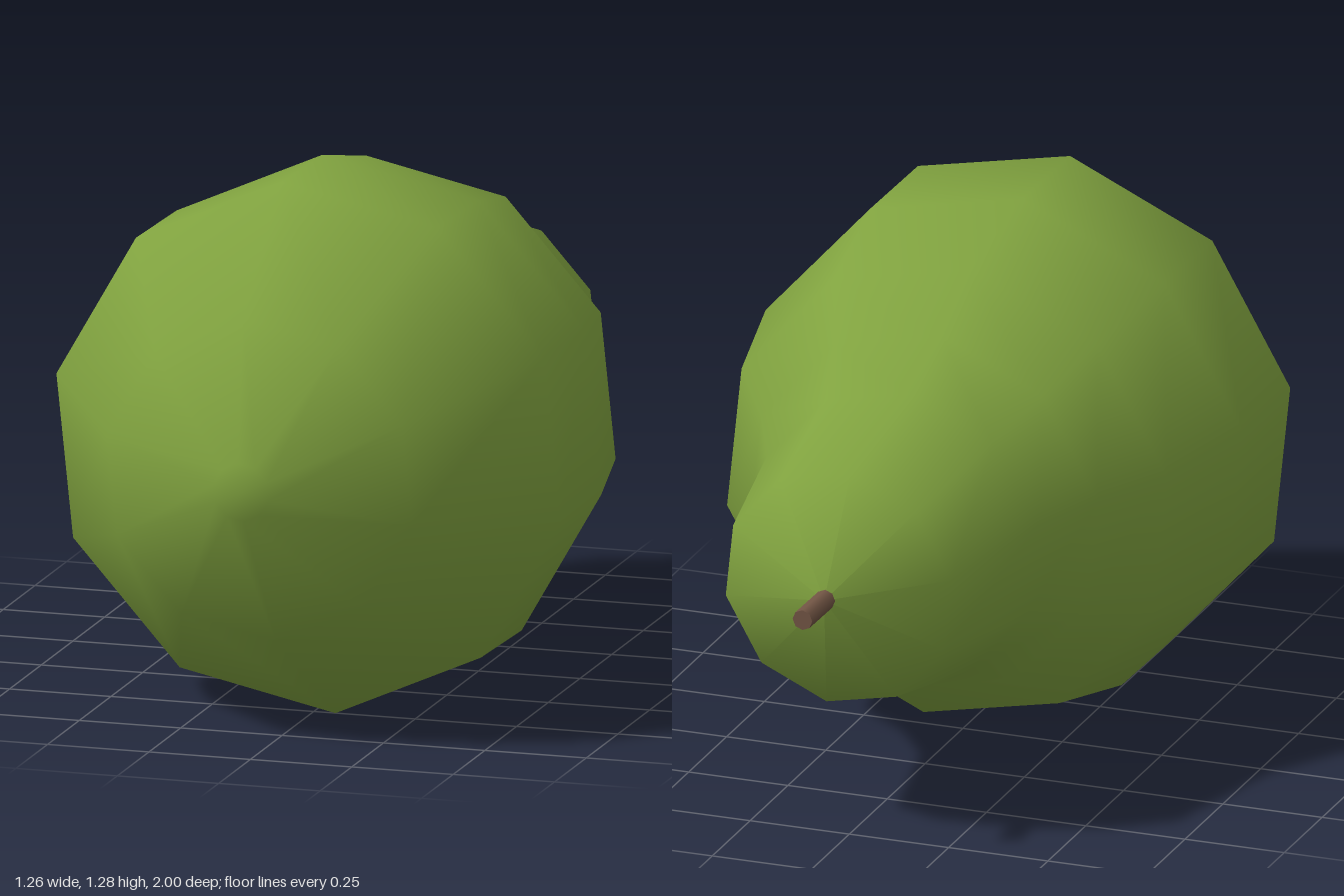
import * as THREE from 'three';

export function createModel() {
  const skinGreen = new THREE.MeshStandardMaterial({ color: 0x80a23f });
  const stemBrown = new THREE.MeshStandardMaterial({ color: 0x735645 });
  skinGreen.name = 'skinGreen';
  stemBrown.name = 'stemBrown';

  const model = new THREE.Group();
  model.name = 'pear';

  // The pear lies on its side: the lathe axis runs from the front (+z) to the stem (-z),
  // and leans very slightly off the z axis.
  const fruit = new THREE.Group();
  fruit.name = 'fruit';
  fruit.position.y = 0.64;
  fruit.rotation.set(-0.01, -0.023, 0);
  model.add(fruit);

  // Body: ten-sided smooth lathe, radius against distance along the axis
  const profile = [
    [0, -1], [0.07, -1], [0.388, -0.865], [0.64, -0.505], [0.64, -0.205],
    [0.571, 0.1], [0.452, 0.245], [0.364, 0.41], [0.293, 0.775], [0, 0.865],
  ].map(([r, a]) => new THREE.Vector2(r, a));
  const bodyGeometry = new THREE.LatheGeometry(profile, 10, THREE.MathUtils.degToRad(-6.2));
  bodyGeometry.rotateX(-Math.PI / 2);
  const body = new THREE.Mesh(bodyGeometry, skinGreen);
  body.name = 'body';
  fruit.add(body);

  // Stem: short rod sunk into the narrow end
  const stemGeometry = new THREE.CylinderGeometry(0.025, 0.025, 0.2, 8);
  stemGeometry.rotateX(-Math.PI / 2);
  const stem = new THREE.Mesh(stemGeometry, stemBrown);
  stem.name = 'stem';
  stem.position.z = -0.9;
  fruit.add(stem);

  return model;
}
